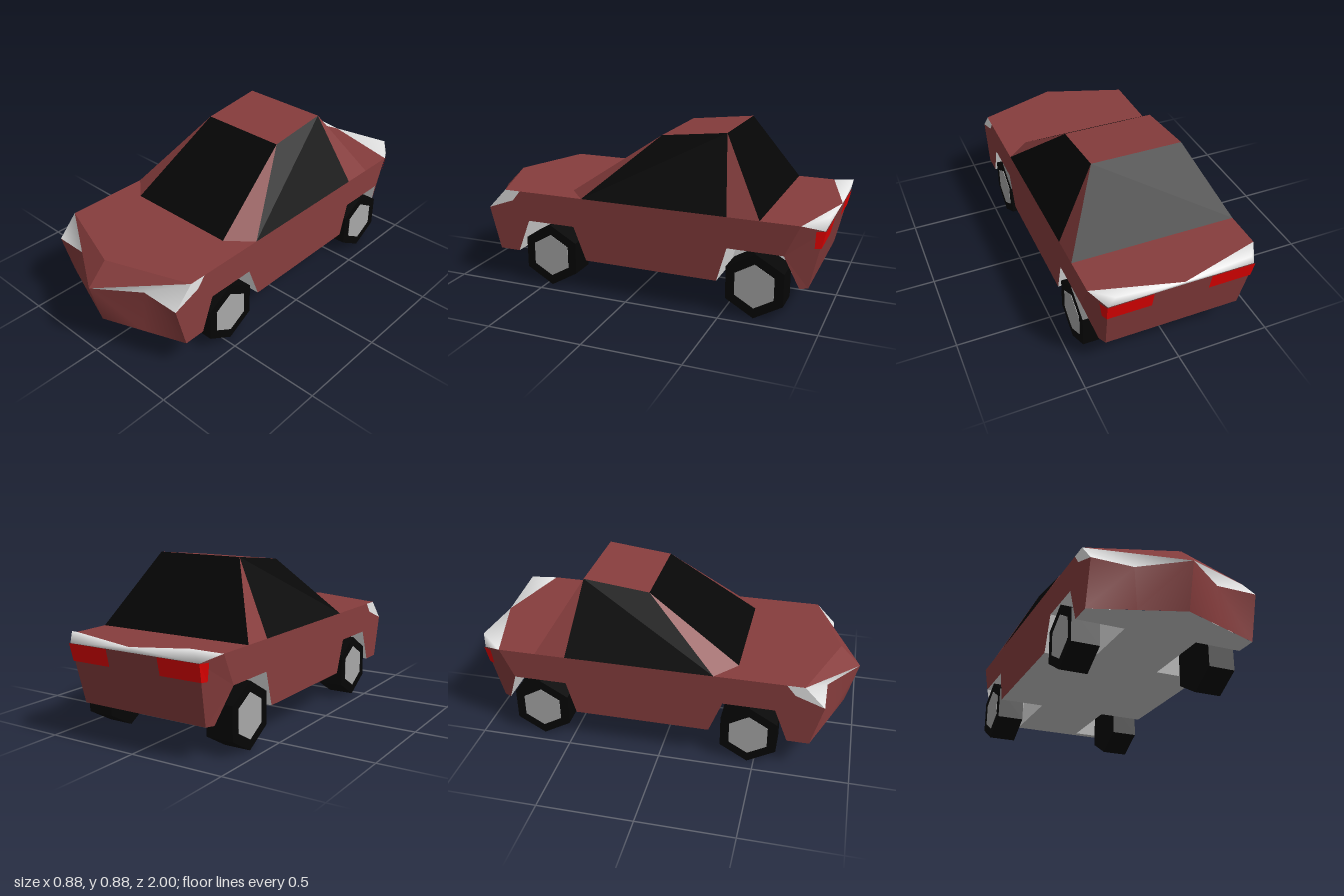
import * as THREE from 'three';
import { mergeVertices } from 'three/addons/utils/BufferGeometryUtils.js';

const mat = (name, color, extra = {}) => {
  const m = new THREE.MeshStandardMaterial({ color, ...extra });
  m.name = name;
  return m;
};

// Convex polygons fanned into triangles, each turned to face away from a middle point
function panelGeometry(polys, smooth = false, middle = [0, 0.4, 0]) {
  const pos = [], mid = new THREE.Vector3(...middle);
  for (const poly of polys) {
    const p = poly.map(c => new THREE.Vector3(...c));
    for (let i = 1; i < p.length - 1; i++) {
      let [a, b, c] = [p[0], p[i], p[i + 1]];
      const n = b.clone().sub(a).cross(c.clone().sub(a));
      const centre = a.clone().add(b).add(c).divideScalar(3).sub(mid);
      if (n.dot(centre) < 0) [b, c] = [c, b];
      for (const v of [a, b, c]) pos.push(v.x, v.y, v.z);
    }
  }
  let g = new THREE.BufferGeometry();
  g.setAttribute('position', new THREE.Float32BufferAttribute(pos, 3));
  if (smooth) g = mergeVertices(g);
  g.computeVertexNormals();
  return g;
}

export function createModel() {
  const car = new THREE.Group();
  car.name = 'car';
  const red = mat('body red', 0x873d3d);
  const black = mat('black', 0x050505);
  const white = mat('white trim', 0xe8e8e8, { side: THREE.DoubleSide });
  const grey = mat('hub grey', 0xa8a8a8);
  const under = mat('underbody grey', 0xc8c8c8);
  const lamp = mat('tail light red', 0xff0000);

  const add = (name, geometry, material) => {
    const mesh = new THREE.Mesh(geometry, material);
    mesh.name = name;
    car.add(mesh);
    return mesh;
  };
  const panel = (name, material, polys) => add(name, panelGeometry(polys), material);
  // The same polygons on the left (+x) and mirrored on the right
  const pair = (name, material, polys, smooth, middle) => {
    for (const [side, s] of [['left', 1], ['right', -1]]) {
      const mirrored = polys.map(p => p.map(([x, y, z]) => [s * x, y, z]));
      add(`${side} ${name}`, panelGeometry(mirrored, smooth, middle), material);
    }
  };

  const W = 0.437, belt = 0.51, sill = 0.17, archTop = 0.35, wellX = 0.19;
  const onSide = pts => pts.map(([z, y]) => [W, y, z]);

  // Nose corners
  const hoodTip = [0, belt, 0.89], hoodCorner = [W, belt, 0.735];
  const nose = [0, 0.4, 1], recess = [0.22, 0.4, 0.84], noseCorner = [W, 0.4, 0.84];
  const chinTip = [0, sill, 0.94], chinMid = [0.22, sill, 0.86], chinCorner = [W, sill, 0.78];
  // Tail corners
  const deckCorner = [W, belt, -0.88], deckTip = [0, belt, -1], lipTop = [0.35, 0.545, -1];
  const tailTop = [0.38, 0.48, -0.985], tailTopMid = [0, 0.48, -0.985];
  const tailLow = [0.36, sill, -0.915], tailLowMid = [0, sill, -0.915];
  const archEnd = [W, archTop, -0.805], tailSide = [0.38, sill, -0.875];

  // Hood, belt line and trunk deck
  pair('deck', red, [[hoodTip, hoodCorner, deckCorner, deckTip]]);
  pair('hood edge', red, [[hoodTip, hoodCorner, nose]]);
  pair('bumper', red, [[nose, recess, chinMid, chinTip], [recess, noseCorner, chinCorner, chinMid]], true);

  // Headlights: recessed front and wrap onto the side
  pair('headlight', white, [[hoodCorner, noseCorner, recess], [hoodCorner, recess, nose]], true);
  pair('headlight wrap', white, [onSide([[0.735, belt], [0.645, belt], [0.69, 0.455], [0.84, 0.4]])]);

  // Sides around the wheel arches
  pair('side', red, [
    onSide([[0.84, 0.4], [0.78, sill], [0.665, sill], [0.595, archTop], [0.69, 0.455]]),
    onSide([[0.645, belt], [0.69, 0.455], [0.595, archTop], [-0.805, archTop], [-0.88, belt]]),
    onSide([[0.325, archTop], [0.255, sill], [-0.47, sill], [-0.52, archTop]]),
  ]);

  // Tail panel and its chamfered corners
  pair('tail corner', red, [[archEnd, deckCorner, tailTop, tailLow, tailSide]]);
  pair('tail panel', red, [[tailTop, tailTopMid, tailLowMid, tailLow]]);
  pair('spoiler', white, [
    [deckCorner, deckTip, lipTop],
    [deckTip, lipTop, tailTop, tailTopMid],
    [deckCorner, lipTop, tailTop],
  ], true, [0, 0.35, -0.85]);
  pair('tail light', lamp, [
    [[0.15, 0.48, -0.99], [0.384, 0.48, -0.99], [0.379, 0.39, -0.97], [0.15, 0.39, -0.97]],
    [[0.384, 0.48, -0.99], [0.405, 0.48, -0.946], [0.391, 0.39, -0.94], [0.379, 0.39, -0.97]],
  ]);

  // Underbody with openings for the wheel wells
  const floor = pts => pts.map(([x, z]) => [x, sill, z]);
  pair('underbody', under, [
    floor([[0, 0.94], [wellX, 0.87], [wellX, -0.915], [0, -0.915]]),
    floor([[wellX, 0.87], [W, 0.78], [W, 0.665], [wellX, 0.665]]),
    floor([[wellX, 0.255], [W, 0.255], [W, -0.47], [wellX, -0.47]]),
    floor([[wellX, -0.875], [0.38, -0.875], [0.36, -0.915], [wellX, -0.915]]),
  ]);

  // Wheel wells: inner wall, roof and sloping ends, from the outer arch corners
  const wells = {
    front: onSide([[0.665, sill], [0.595, archTop], [0.325, archTop], [0.255, sill]]),
    rear: [...onSide([[-0.47, sill], [-0.52, archTop]]), archEnd, tailSide],
  };
  for (const [end, outer] of Object.entries(wells)) {
    const inner = outer.map(([, y, z]) => [wellX, y, z]);
    const walls = [inner];
    for (let i = 0; i < 3; i++) walls.push([inner[i], outer[i], outer[i + 1], inner[i + 1]]);
    pair(`${end} wheel well`, white, walls);
  }

  // Cabin: roof, windows and pillars
  const roofF = [0.24, 0.84, -0.1], roofB = [0.24, 0.88, -0.45];
  const screenBase = [0.31, belt, 0.385], sideF = [W, belt, 0.275];
  const sideB = [W, belt, -0.515], rearBase = [W, belt, -0.68];
  const flip = ([x, y, z]) => [-x, y, z];
  const across = (a, b) => [[a, b, flip(b), flip(a)]];
  panel('roof', red, across(roofF, roofB));
  panel('windshield', black, across(screenBase, roofF));
  panel('rear window', black, across(roofB, rearBase));
  pair('side window', black, [[sideF, sideB, roofB, roofF]]);
  pair('front pillar', red, [[screenBase, sideF, roofF]]);
  pair('rear pillar', red, [[rearBase, sideB, roofB]]);

  // Six-sided wheels with thin hub plates set almost flush
  const hexagon = (r, width) =>
    new THREE.CylinderGeometry(r, r, width, 6, 1, false, Math.PI / 6).rotateZ(Math.PI / 2).toNonIndexed();
  const tyreGeo = hexagon(0.17, 0.144), hubGeo = hexagon(0.116, 0.006);
  for (const g of [tyreGeo, hubGeo]) g.computeVertexNormals();
  for (const [end, z] of [['front', 0.465], ['rear', -0.665]]) {
    for (const [side, s] of [['left', 1], ['right', -1]]) {
      add(`${end} ${side} tyre`, tyreGeo, black).position.set(s * 0.364, 0.17, z);
      add(`${end} ${side} hub`, hubGeo, grey).position.set(s * 0.435, 0.17, z);
    }
  }
  return car;
}
